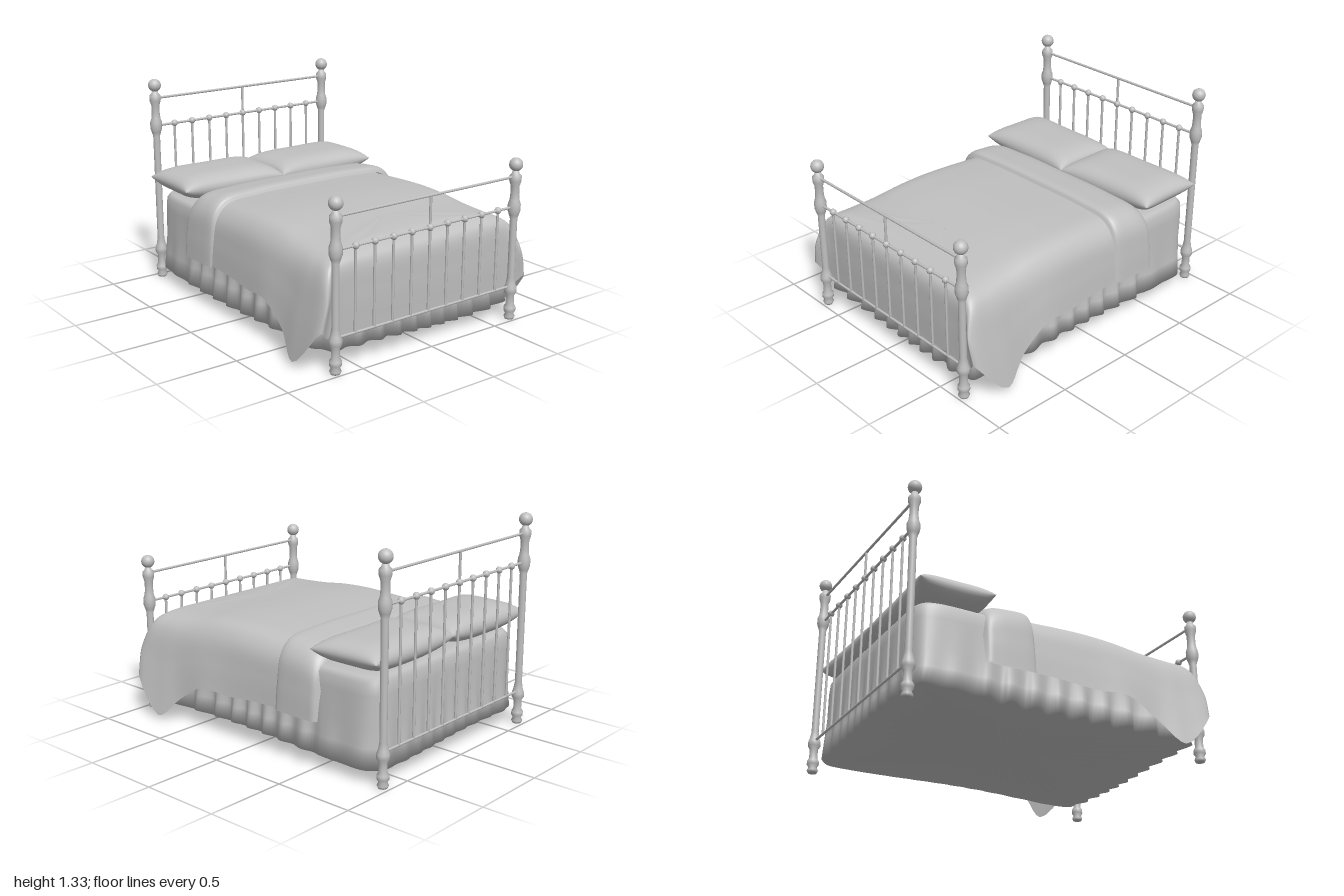
import * as THREE from 'three';
import { mergeVertices } from 'three/addons/utils/BufferGeometryUtils.js';

const V = (p) => new THREE.Vector3(...p);

// Skin a list of equally long point rows; shared points give smooth normals
function loft(rows) {
  const n = rows[0].length, index = [];
  for (let i = 0; i < rows.length - 1; i++) {
    for (let j = 0; j < n - 1; j++) {
      const a = i * n + j, b = a + 1, c = a + n, d = c + 1;
      index.push(a, c, b, b, c, d);
    }
  }
  let g = new THREE.BufferGeometry().setFromPoints(rows.flat());
  g.setIndex(index);
  g = mergeVertices(g, 1e-4);
  g.computeVertexNormals();
  return g;
}

// Smooth cloth through a coarse grid of control points
function cloth(columns, nu, nv) {
  const down = columns.map((c) => new THREE.CatmullRomCurve3(c.map(V)).getPoints(nv));
  const across = [];
  for (let j = 0; j <= nv; j++) {
    across.push(new THREE.CatmullRomCurve3(down.map((c) => c[j])).getPoints(nu));
  }
  return loft(across);
}

export function createModel() {
  const model = new THREE.Group();
  const grey = new THREE.MeshStandardMaterial({ color: 0xc0c0c0, side: THREE.DoubleSide });
  grey.name = 'light grey';

  const add = (parent, name, geometry, x = 0, y = 0, z = 0) => {
    const mesh = new THREE.Mesh(geometry, grey);
    mesh.name = name;
    mesh.position.set(x, y, z);
    parent.add(mesh);
    return mesh;
  };

  // Turned post: foot, lower collar, pole, upper collar, neck and ball
  function postGeometry(ballY) {
    const low = [[0, 0], [.027, 0], [.034, .015], [.025, .035], [.036, .052], [.036, .075], [.025, .092],
      [.025, .15], [.038, .172], [.038, .198], [.03, .22], [.022, .265]];
    const high = [[.022, -.33], [.03, -.305], [.038, -.28], [.038, -.24], [.029, -.215], [.026, -.18],
      [.026, -.13], [.036, -.098], [.036, -.068], [.022, -.052], [.018, -.035], [0, -.03]];
    const profile = [...low, ...high.map(([r, y]) => [r, y + ballY])];
    return new THREE.LatheGeometry(profile.map(([r, y]) => new THREE.Vector2(r, y)), 16);
  }

  // Head or foot frame: two posts, three rails, nine spindles with knobs
  function frame(name, z, ballY, topY, midY) {
    const g = new THREE.Group();
    g.name = name;
    g.position.z = z;
    const lowY = .207;
    for (const x of [-.66, .66]) {
      add(g, 'post', postGeometry(ballY), x);
      add(g, 'postBall', new THREE.SphereGeometry(.041, 18, 12), x, ballY);
    }
    for (const y of [topY, midY, lowY]) {
      const rail = add(g, 'rail', new THREE.CylinderGeometry(.008, .008, 1.3, 8), 0, y);
      rail.rotation.z = Math.PI / 2;
    }
    add(g, 'centreStrut', new THREE.CylinderGeometry(.008, .008, topY - midY, 8), 0, (topY + midY) / 2);
    for (let i = -4; i <= 4; i++) {
      const x = i * .1315;
      add(g, 'spindle', new THREE.CylinderGeometry(.008, .008, midY - lowY, 8), x, (midY + lowY) / 2);
      add(g, 'knob', new THREE.SphereGeometry(.021, 10, 8), x, midY);
    }
    model.add(g);
  }
  frame('headboard', -.955, 1.288, 1.205, 1.025);
  frame('footboard', .96, .963, .89, .705);

  // Mattress with a pleated skirt, closed beneath by a fan of folds
  const N = 336, rings = [];
  const ring = (hx, hz, y, pleat, drop) => {
    const row = [];
    for (let i = 0; i <= N; i++) {
      const a = ((i % N) / N) * Math.PI * 2;
      const c = Math.cos(a), s = Math.sin(a);
      const k = 1 / Math.pow(Math.abs(c) ** 14 + Math.abs(s) ** 14, 1 / 14);
      const px = c * k, pz = s * k;
      const amount = pz < -.55 ? .3 : 1;
      const wave = Math.sin(a * 42 + .8 * Math.sin(a * 5));
      const f = 1 + pleat * amount * wave;
      const dy = drop * (.5 * wave * amount + Math.sin(a * 3 + 1) - .4);
      row.push(new THREE.Vector3(px * hx * f, y + dy, pz * hz * f - .005));
    }
    rings.push(row);
  };
  ring(0, 0, .1, 0, 0);
  ring(.35, .46, .1, .018, .007);
  ring(.7, .92, .095, .03, .014);
  ring(.693, .915, .2, .022, 0);
  ring(.685, .91, .32, .01, 0);
  ring(.685, .91, .5, 0, 0);
  ring(.68, .905, .57, 0, 0);
  ring(.66, .885, .598, 0, 0);
  ring(.6, .82, .605, 0, 0);
  ring(0, 0, .61, 0, 0);
  add(model, 'mattressAndSkirt', loft(rings));

  // Blanket: side columns from the ridge to the hem, then a fan over the foot corners
  const side = (z, y, hemX, hemY, out = 0) => [[0, y, z], [.4, y - .005, z], [.6 + out, y - .03, z],
    [.675 + out, y - .11, z], [(.69 + out + hemX) / 2, (y - .1 + hemY) / 2, z], [hemX, hemY, z]];
  const hub = [0, .687, .56];
  const half = [
    side(-.5, .68, .715, .285), side(-.2, .69, .715, .29), side(0, .702, .72, .285),
    side(.2, .708, .73, .27), side(.4, .7, .745, .275),
    [hub, [.4, .68, .56], [.6, .65, .58], [.68, .57, .62], [.725, .38, .63], [.755, .16, .59]],
    [hub, [.4, .67, .7], [.6, .64, .75], [.685, .57, .8], [.745, .33, .78], [.8, .03, .75]],
    [hub, [.38, .67, .75], [.6, .635, .86], [.675, .58, .91], [.725, .42, .975], [.762, .26, .97]],
    [hub, [.3, .67, .76], [.53, .645, .86], [.62, .59, .92], [.66, .42, .94], [.69, .2, .935]],
    [hub, [.2, .675, .74], [.33, .655, .84], [.38, .6, .92], [.4, .42, .938], [.4, .2, .935]],
  ];
  const middle = [hub, [0, .675, .74], [0, .655, .84], [0, .6, .92], [0, .42, .938], [0, .19, .935]];
  const mirrored = half.map((c) => c.map(([x, y, z]) => [-x, y, z])).reverse();
  add(model, 'blanket', cloth([...half, middle, ...mirrored], 100, 30));

  // Turned-back fold across the top of the blanket
  const fold = [[-.205, .695, 0], [-.225, .722, .015], [-.34, .718, .025], [-.45, .7, .025], [-.5, .665, .02],
    [-.525, .62, -.01]].map(([z, y, out]) => {
    const right = side(z, y, .72 + out * .6, .285, out);
    return [...right.slice(1).map(([x, py, pz]) => [-x, py, pz]).reverse(), ...right];
  });
  add(model, 'blanketFold', cloth(fold, 20, 60));

  // Pillows: a puffed cushion with thin pointed corners
  function pillowGeometry(hw, hd, h) {
    const rows = [], nu = 24, nv = 20;
    for (let j = 0; j <= nv; j++) {
      const v = -Math.cos((j / nv) * Math.PI), row = [];
      for (let i = 0; i <= nu * 2; i++) {
        const a = (i / nu) * Math.PI;
        const u = -Math.cos(a), s = i <= nu ? 1 : -1;
        const puff = Math.sqrt(Math.max(0, (1 - u ** 4) * (1 - v ** 4)));
        row.push(new THREE.Vector3(u * hw * (1 - .03 * (1 - v * v)), s * h * puff + .012 * u * u,
          v * hd * (1 - .06 * (1 - u * u) * (v > 0 ? 1 : .3))));
      }
      rows.push(row);
    }
    return loft(rows);
  }
  for (const s of [-1, 1]) {
    const pillow = add(model, s < 0 ? 'rightPillow' : 'leftPillow', pillowGeometry(.362, .232, .085),
      s * .355 - .012, .688, -.692);
    pillow.rotation.y = s * .02;
  }
  return model;
}
